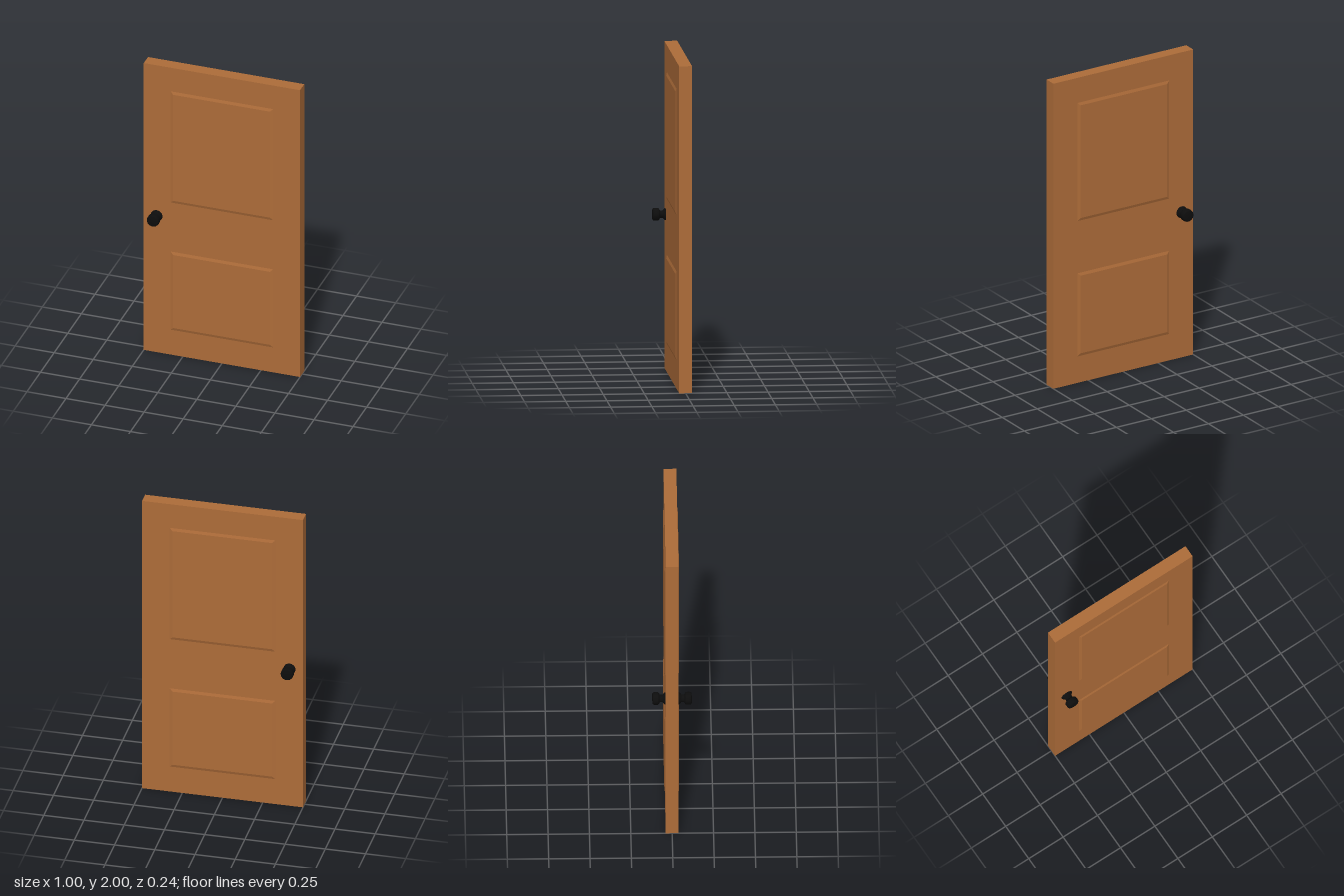
import * as THREE from 'three';

const wood = new THREE.MeshStandardMaterial({ color: 0xad6c39 });
const black = new THREE.MeshStandardMaterial({ color: 0x0d0d0d });

const HALF_DEPTH = 0.039;

// Raised panel: a box whose outer face is pulled in to leave sloped borders
function raisedPanel(width, height, rise, inset) {
  const geo = new THREE.BoxGeometry(width, height, rise);
  const pos = geo.attributes.position;
  for (let i = 0; i < pos.count; i++) {
    if (pos.getZ(i) < 0) continue;
    pos.setX(i, pos.getX(i) - Math.sign(pos.getX(i)) * inset);
    pos.setY(i, pos.getY(i) - Math.sign(pos.getY(i)) * inset);
  }
  geo.translate(0, 0, rise / 2);
  geo.computeVertexNormals();
  return geo;
}

// Knob turned around the axis that stands out from the door
function knobGeometry() {
  const profile = [
    [0.037, 0], [0.037, 0.004], [0.034, 0.008], [0.024, 0.017], [0.023, 0.02],
    [0.023, 0.032], [0.026, 0.036], [0.036, 0.042], [0.039, 0.046],
    [0.039, 0.067], [0.037, 0.075], [0.031, 0.08], [0, 0.081],
  ].map(([r, y]) => new THREE.Vector2(r, y));
  return new THREE.LatheGeometry(profile, 24).rotateX(Math.PI / 2);
}

export function createModel() {
  const door = new THREE.Group();
  door.name = 'door';

  const add = (parent, name, geo, mat, x, y, z) => {
    const mesh = new THREE.Mesh(geo, mat);
    mesh.name = name;
    mesh.position.set(x, y, z);
    parent.add(mesh);
  };

  add(door, 'slab', new THREE.BoxGeometry(1, 2, HALF_DEPTH * 2), wood, 0, 1, 0);

  const upper = raisedPanel(0.656, 0.775, 0.006, 0.018);
  const lower = raisedPanel(0.656, 0.545, 0.006, 0.018);
  const knob = knobGeometry();

  // Panels and knob on both faces; the back is the front turned half a circle
  for (const side of [1, -1]) {
    const face = new THREE.Group();
    face.name = side > 0 ? 'frontFace' : 'backFace';
    face.rotation.y = side > 0 ? 0 : Math.PI;
    add(face, 'upperPanel', upper, wood, 0, 1.448, HALF_DEPTH);
    add(face, 'lowerPanel', lower, wood, 0, 0.446, HALF_DEPTH);
    add(face, 'knob', knob, black, -0.417 * side, 0.953, HALF_DEPTH);
    door.add(face);
  }

  return door;
}
